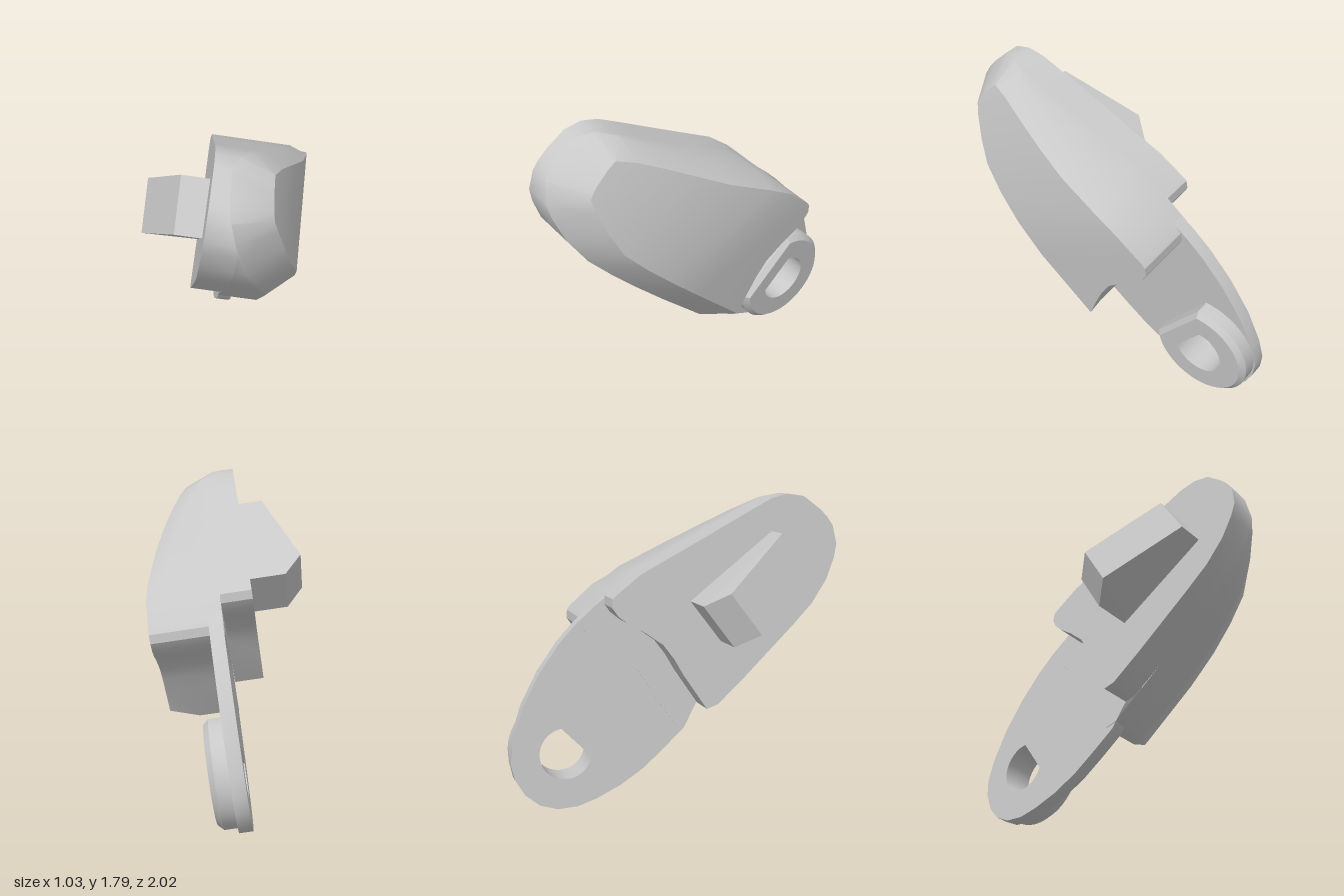
import * as THREE from 'three';
import { toCreasedNormals } from 'three/addons/utils/BufferGeometryUtils.js';
import { ConvexGeometry } from 'three/addons/geometries/ConvexGeometry.js';

// The lever lies in a tilted plane: (w, v) run in the plane, t is its thickness axis.
const tilt = new THREE.Matrix4().makeBasis(
  new THREE.Vector3(0.14, 0, -1),
  new THREE.Vector3(0.148, 1, 0),
  new THREE.Vector3(1, -0.148, 0.14)
);

// Head edges from the rear to the tip: [outer w, outer v, face w, face v, bevel depth]
const upper = [
  [0.475, 1.125, 0.475, 1.125, 0.1], [0.33, 1.25, 0.32, 1.245, 0.1], [0.18, 1.353, 0.17, 1.315, 0.1],
  [-0.1, 1.48, -0.1, 1.42, 0.1], [-0.3, 1.572, -0.3, 1.512, 0.1], [-0.48, 1.655, -0.48, 1.59, 0.1],
  [-0.63, 1.722, -0.62, 1.645, 0.12], [-0.735, 1.743, -0.73, 1.67, 0.15],
  [-0.835, 1.723, -0.77, 1.64, 0.165], [-0.935, 1.643, -0.82, 1.59, 0.165]
];
const lower = [
  [-0.09, 0.42, 0.02, 0.51], [-0.40, 0.687, -0.29, 0.784], [-0.585, 0.846, -0.47, 0.938],
  [-0.735, 0.975, -0.62, 1.067], [-0.86, 1.09, -0.75, 1.19], [-0.96, 1.225, -0.82, 1.32],
  [-1.015, 1.35, -0.87, 1.44], [-1.035, 1.43, -0.886, 1.505], [-1.015, 1.54, -0.865, 1.54],
  [-0.98, 1.595, -0.845, 1.565]
].map((p) => [...p, 0.165]);
// S-shaped rear end, from the lower corner up
const rear = [
  [-0.02, 0.40, 0.05, 0.485, 0.165],
  ...[
    [0.11, 0.62], [0.16, 0.72], [0.22, 0.81], [0.32, 0.89], [0.42, 0.955], [0.47, 1.0],
    [0.5, 1.05], [0.495, 1.1]
  ].map(([w, v]) => [w, v, w, v, 0.165])
];

const FLAT = 1; // the side face is flat up to this pair of edge points
const LEFT = -0.293, SEAM = -0.12;

// Height of the side face, which curves down toward the tip
function faceT(w, v) {
  const s = Math.max(0, -0.55 * w + 0.83 * v - 0.87);
  return 0.28 - 0.104 * s - 0.205 * s * s;
}
const bevelT = (p) => faceT(p[0], p[1]) - p[4];
const seamT = (p) => Math.min(SEAM, bevelT(p) - 0.002);

// Triangles between successive closed loops
function loft(rows) {
  const out = [];
  for (let j = 0; j + 1 < rows.length; j++) {
    const n = rows[j].length;
    for (let i = 0; i < n; i++) {
      const k = (i + 1) % n;
      const a = rows[j][i], b = rows[j][k], c = rows[j + 1][k], d = rows[j + 1][i];
      out.push(...a, ...b, ...c, ...a, ...c, ...d);
    }
  }
  return out;
}

function flatCap(points, out, flip = false) {
  const contour = points.map((p) => new THREE.Vector2(p[0], p[1]));
  for (const [a, b, c] of THREE.ShapeUtils.triangulateShape(contour, [])) {
    out.push(...points[a], ...points[flip ? c : b], ...points[flip ? b : c]);
  }
}

function finish(geometry) {
  geometry.applyMatrix4(tilt);
  return toCreasedNormals(geometry, 0.55);
}

function fromTriangles(values) {
  const g = new THREE.BufferGeometry();
  g.setAttribute('position', new THREE.Float32BufferAttribute(values, 3));
  return finish(g);
}

// Bevelled main half of the head
function headGeometry() {
  const loop = [...upper, ...[...lower].reverse(), ...rear];
  const face = (p) => [p[2], p[3], faceT(p[2], p[3])];
  const tris = loft([
    loop.map((p) => [p[0], p[1], seamT(p)]),
    loop.map((p) => [p[0], p[1], bevelT(p)]),
    loop.map(face)
  ]);
  flatCap([...upper.slice(0, FLAT + 1), ...lower.slice(0, FLAT + 1).reverse(), ...rear].map(face), tris);
  for (let i = FLAT; i + 1 < upper.length; i++) {
    const a = face(upper[i]), b = face(upper[i + 1]), c = face(lower[i + 1]), d = face(lower[i]);
    tris.push(...a, ...b, ...c, ...a, ...c, ...d);
  }
  return fromTriangles(tris);
}

// Flat-backed half of the head with a shorter rear end
function slabGeometry() {
  const shift = (p) => [p[0] - 0.14, p[1] + 0.13, 0, 0, 0.165];
  const loop = [
    ...upper.slice(1), ...lower.slice(1).reverse(), shift(lower[0]), ...rear.map(shift)
  ];
  const base = loop.map((p) => [p[0], p[1], LEFT]);
  const tris = loft([base, loop.map((p) => [p[0], p[1], seamT(p)])]);
  flatCap(base, tris, true);
  return fromTriangles(tris);
}

// Circle with one side cut off by a chord
function dShape(radius, chord) {
  const half = Math.acos(chord / radius), mid = 2.434, n = 40, pts = [];
  for (let i = 0; i <= n; i++) {
    const a = mid + half + (i / n) * (2 * Math.PI - 2 * half);
    pts.push([0.662 + radius * Math.cos(a), 0.325 + radius * Math.sin(a)]);
  }
  return pts;
}
const hole = dShape(0.154, 0.09);

function plateGeometry() {
  const toVec = (p) => new THREE.Vector2(p[0], p[1]);
  const shape = new THREE.Shape([
    [0.32, 1.24], [0.2, 1.27], [-0.2, 0.9], [-0.2, 0.6], [-0.07, 0.385], [0.07, 0.27],
    [0.2, 0.17], [0.35, 0.085], [0.5, 0.025], [0.62, -0.006], [0.74, -0.004], [0.84, 0.035],
    [0.92, 0.11], [0.97, 0.21], [0.985, 0.31], [0.96, 0.44], [0.885, 0.63], [0.77, 0.82],
    [0.64, 0.98], [0.53, 1.085], [0.42, 1.17]
  ].map(toVec));
  shape.holes.push(new THREE.Path(hole.map(toVec)));
  const g = new THREE.ExtrudeGeometry(shape, { depth: 0.077, bevelEnabled: false });
  return finish(g.translate(0, 0, -0.117));
}

// Chamfered collar around the hole
function collarGeometry() {
  const at = (pts, t) => pts.map((p) => [p[0], p[1], t]);
  const wide = dShape(0.312, 0.21), narrow = dShape(0.282, 0.185);
  return fromTriangles(loft([
    at(wide, -0.05), at(wide, 0.035), at(narrow, 0.066), at(hole, 0.066), at(hole, -0.05)
  ]));
}

// Wedge-shaped peg: one profile swept along a straight edge
function pegGeometry() {
  const profile = [[-0.30, 1.60, 0.56], [-0.46, 1.34, 0.14], [-0.345, 1.25, 0.03]]
    .map((p) => new THREE.Vector3(...p));
  const sweep = new THREE.Vector3(-0.055, -0.25, 0.17);
  const inward = new THREE.Vector3(1, -0.148, 0.14);
  profile.push(profile[0].clone().addScaledVector(inward, 0.18));
  profile.push(profile[2].clone().addScaledVector(inward, 0.25));
  return new ConvexGeometry([...profile, ...profile.map((p) => p.clone().add(sweep))]);
}

export function createModel() {
  const grey = new THREE.MeshStandardMaterial({ color: 0xc8c8c8 });
  grey.name = 'light grey';
  const model = new THREE.Group();
  model.name = 'lever';
  const parts = {
    head: headGeometry(), headBack: slabGeometry(), hubPlate: plateGeometry(),
    hubCollar: collarGeometry(), peg: pegGeometry()
  };
  for (const [name, geometry] of Object.entries(parts)) {
    const mesh = new THREE.Mesh(geometry, grey);
    mesh.name = name;
    model.add(mesh);
  }
  return model;
}
